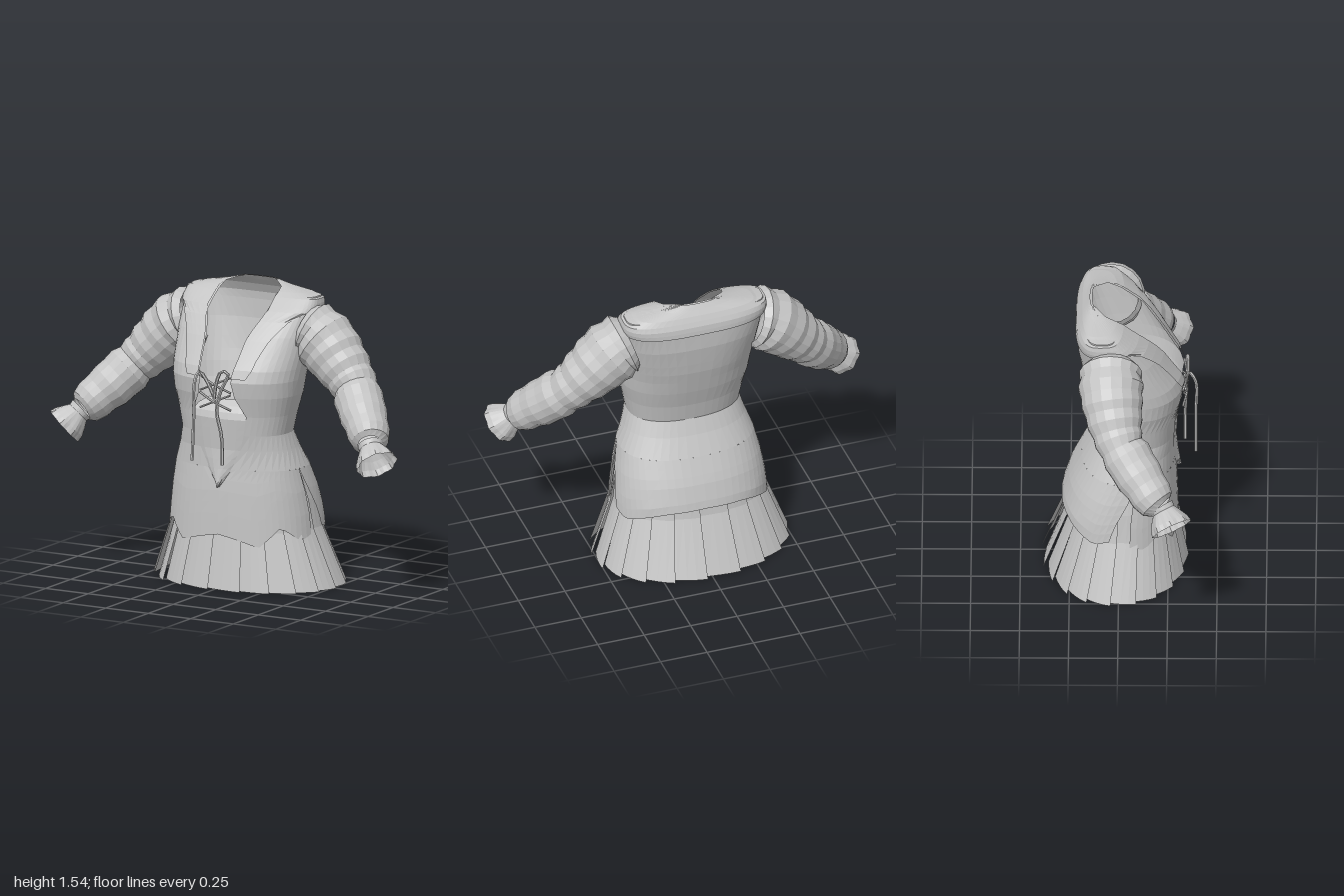
import * as THREE from 'three';

const cloth = new THREE.MeshStandardMaterial({ color: 0xc4c4c4, side: THREE.DoubleSide, flatShading: true });
cloth.name = 'grey cloth';

// Piecewise linear lookup: rows of [key, a, b, ...] with rising keys
function look(rows, k) {
  if (k <= rows[0][0]) return rows[0].slice(1);
  for (let i = 1; i < rows.length; i++) {
    const p = rows[i - 1], q = rows[i];
    if (k <= q[0]) {
      const t = (k - p[0]) / (q[0] - p[0]);
      return p.slice(1).map((v, j) => v + (q[j + 1] - v) * t);
    }
  }
  return rows[rows.length - 1].slice(1);
}

// Surface from a rule f(u, v) with u across and v downwards, both 0..1
function sheet(name, cols, rows, f) {
  const pos = [], idx = [];
  for (let j = 0; j <= rows; j++)
    for (let i = 0; i <= cols; i++) pos.push(...f(i / cols, j / rows));
  for (let j = 0; j < rows; j++)
    for (let i = 0; i < cols; i++) {
      const p = j * (cols + 1) + i, q = p + cols + 1;
      idx.push(p, q, p + 1, p + 1, q, q + 1);
    }
  let g = new THREE.BufferGeometry();
  g.setAttribute('position', new THREE.Float32BufferAttribute(pos, 3));
  g.setIndex(idx);
  g = g.toNonIndexed();
  g.computeVertexNormals();
  const m = new THREE.Mesh(g, cloth);
  m.name = name;
  return m;
}

function cord(name, pts, r) {
  const curve = new THREE.CatmullRomCurve3(pts.map(p => new THREE.Vector3(...p)));
  const m = new THREE.Mesh(new THREE.TubeGeometry(curve, 24, r, 6), cloth);
  m.name = name;
  return m;
}

// Body outline: height, half width, front z, back z, roundness (1 = ellipse, less = boxier)
const BODY = [
  [0.2, 0.415, 0.305, -0.30, 0.85], [0.38, 0.40, 0.30, -0.29, 0.85], [0.5, 0.382, 0.295, -0.25, 0.85],
  [0.62, 0.355, 0.285, -0.19, 0.85], [0.72, 0.318, 0.285, -0.135, 0.85], [0.8, 0.296, 0.295, -0.10, 0.85],
  [0.9, 0.315, 0.305, -0.12, 0.85], [1.0, 0.34, 0.325, -0.15, 0.85], [1.08, 0.35, 0.335, -0.17, 0.85],
  [1.14, 0.355, 0.315, -0.185, 0.83], [1.2, 0.36, 0.275, -0.195, 0.8], [1.3, 0.365, 0.21, -0.21, 0.74],
  [1.4, 0.37, 0.125, -0.21, 0.66], [1.44, 0.375, 0.07, -0.205, 0.62], [1.485, 0.365, 0.01, -0.18, 0.6],
  [1.515, 0.19, -0.04, -0.155, 0.7], [1.54, 0.09, -0.11, -0.135, 0.85]];
// Half width of the front opening by height
const OPEN = [
  [0.55, 0], [0.62, 0.06], [0.7, 0.11], [0.78, 0.135], [0.92, 0.16], [0.98, 0.11], [1.08, 0.09],
  [1.18, 0.105], [1.3, 0.12], [1.41, 0.17], [1.515, 0.165], [1.54, 0.09]];

// Point on the body, angle a from the front towards +x
function onBody(a, y, out = 0, table = BODY) {
  const [w, f, b, e] = look(table, y);
  const s = Math.sin(a), c = Math.cos(a);
  return [(w + out) * Math.sign(s) * Math.abs(s) ** e, y,
    (f + b) / 2 + ((f - b) / 2 + out) * Math.sign(c) * Math.abs(c) ** e];
}
function angleAt(x, y) {
  const [w, , , e] = look(BODY, y);
  return Math.asin(Math.min(1, x / w) ** (1 / e));
}
const openAngle = y => angleAt(look(OPEN, y)[0], y);

function bodice(g) {
  const ys = BODY.map(r => r[0]).filter(y => y >= 0.62).reverse();
  g.add(sheet('bodice', 44, ys.length - 1, (u, v) => {
    const y = ys[Math.round(v * (ys.length - 1))], a0 = openAngle(y);
    return onBody(a0 + u * (2 * Math.PI - 2 * a0), y);
  }));
  // Hip panels with side slits and an uneven hem
  const frontHem = [[0, 0.28], [0.3, 0.25], [0.5, 0.225], [0.85, 0.33], [1.2, 0.255], [1.5, 0.285]];
  const backHem = [[0, 0.365], [0.5, 0.355], [0.7, 0.34], [1.0, 0.315], [1.3, 0.285], [1.6, 0.31]];
  g.add(sheet('frontHipPanel', 28, 6, (u, v) => {
    const a = (u * 2 - 1) * 1.44;
    const y = 0.62 + (look(frontHem, Math.abs(a))[0] - 0.62) * v;
    let t = a;
    if (y > 0.52) { // leave the lower point of the front opening free
      const o = openAngle(y), s = Math.sign(a) || 1;
      t = s * (o + Math.abs(a) * (1.44 - o) / 1.44);
    }
    return onBody(t, y);
  }));
  g.add(sheet('backHipPanel', 28, 6, (u, v) => {
    const k = u * 2 - 1;
    const y = 0.62 + (look(backHem, Math.abs(k) * 1.6)[0] - 0.62) * v;
    return onBody(Math.PI + k * (1.7 - 0.26 * v), y);
  }));
  // Pointed insert behind the laces, with a sloping top edge
  const ins = [[0, 0.105, 0.97, 0.22], [0.15, 0.165, 0.93, 0.275], [0.3, 0.16, 0.88, 0.29],
    [0.6, 0.135, 0.72, 0.28], [0.8, 0.075, 0.62, 0.29], [1, 0.004, 0.525, 0.305]];
  g.add(sheet('frontInsert', 6, 10, (u, v) => {
    const [w, y, z] = look(ins, v), k = u * 2 - 1;
    return [k * w, y, z + 0.012 * (1 - 2 * k * k)];
  }));
}

function collar(g) {
  g.add(sheet('yoke', 48, 6, (u, v) => {
    const a = u * 2 * Math.PI, back = (1 - Math.cos(a)) / 2;
    const y = 1.54 - v * (0.12 + 0.025 * back);
    const a0 = openAngle(y);
    return onBody(a0 + u * (2 * Math.PI - 2 * a0), y, 0.012);
  }));
  const edge = [[1.1, 0.165], [1.12, 0.185], [1.2, 0.2], [1.3, 0.24], [1.38, 0.3], [1.42, 0.36]];
  for (const s of [1, -1])
    g.add(sheet(s > 0 ? 'leftLapel' : 'rightLapel', 5, 7, (u, v) => {
      const y = 1.42 - 0.32 * v;
      const a0 = openAngle(y) * 0.97, a1 = angleAt(look(edge, y)[0], y);
      return onBody(s * (a0 + (a1 - a0) * u), y, 0.012);
    }));
}

// Overlapping pleats, each stepping out over the next
function skirt(g) {
  const SK = [[0, 0.525, 0.358, -0.398, 0.93], [0.3, 0.41, 0.295, -0.275, 0.88],
    [0.45, 0.384, 0.287, -0.25, 0.86], [0.63, 0.34, 0.272, -0.17, 0.85]];
  const n = 20, pleats = new THREE.Group();
  pleats.name = 'pleatedSkirt';
  for (let i = 0; i < n; i++)
    pleats.add(sheet('pleat', 4, 3, (u, v) => {
      const y = [0.63, 0.45, 0.3, 0][Math.round(v * 3)];
      const out = (u - 1) * 0.032 * (1 - y / 0.7) - 0.004;
      return onBody((i + u * 1.25 - 0.4) / n * 2 * Math.PI, y, out, SK);
    }));
  g.add(pleats);
}

// Sleeve rings: x, y, z, radius, with gathered folds
const ARM = [
  [0.335, 1.315, -0.04, 0.135], [0.365, 1.305, -0.04, 0.162], [0.385, 1.295, -0.04, 0.15],
  [0.425, 1.268, -0.038, 0.168], [0.46, 1.237, -0.036, 0.156], [0.495, 1.205, -0.03, 0.158],
  [0.525, 1.17, -0.024, 0.144], [0.565, 1.135, -0.016, 0.142], [0.595, 1.1, -0.006, 0.124],
  [0.622, 1.075, 0.004, 0.126], [0.65, 1.045, 0.02, 0.112], [0.675, 1.015, 0.045, 0.128],
  [0.71, 0.975, 0.075, 0.122], [0.745, 0.935, 0.108, 0.123], [0.78, 0.9, 0.14, 0.11],
  [0.81, 0.865, 0.17, 0.11], [0.837, 0.833, 0.2, 0.095], [0.85, 0.82, 0.22, 0.064]];
const CUFF = [
  [0.85, 0.82, 0.22, 0.066], [0.862, 0.805, 0.232, 0.06], [0.88, 0.782, 0.246, 0.08],
  [0.9, 0.757, 0.26, 0.098], [0.92, 0.735, 0.274, 0.104]];

function tubeSheet(name, rings, sides, ruffle) {
  const P = rings.map(r => new THREE.Vector3(r[0], r[1], r[2])), n = rings.length - 1;
  return sheet(name, sides, n, (u, v) => {
    const j = Math.round(v * n), f = u * 2 * Math.PI;
    const t = P[Math.min(n, j + 1)].clone().sub(P[Math.max(0, j - 1)]).normalize();
    const b1 = new THREE.Vector3().crossVectors(t, new THREE.Vector3(0, 0, 1)).normalize();
    const b2 = new THREE.Vector3().crossVectors(t, b1);
    const r = rings[j][3] * (1 + ruffle * v * Math.cos(f * 8));
    return P[j].clone().addScaledVector(b1, r * Math.cos(f)).addScaledVector(b2, -r * Math.sin(f)).toArray();
  });
}

function arms(g) {
  for (const s of [1, -1]) {
    const arm = new THREE.Group();
    arm.name = s > 0 ? 'leftSleeve' : 'rightSleeve';
    arm.add(tubeSheet('sleeve', ARM, 18, 0), tubeSheet('ruffledCuff', CUFF, 32, 0.05));
    arm.scale.x = s;
    g.add(arm);
  }
}

function laces(g) {
  for (const s of [1, -1])
    for (const y of [0.96, 1.05])
      g.add(cord('crossLace', [[-s * 0.09, y - 0.025, 0.325], [0, y + 0.015, 0.345], [s * 0.09, y + 0.055, 0.33]], 0.006));
  g.add(cord('hangingLace', [[0, 1.0, 0.34], [-0.04, 1.08, 0.345], [-0.075, 1.13, 0.36],
    [-0.085, 1.08, 0.39], [-0.09, 0.9, 0.39], [-0.1, 0.67, 0.39]], 0.009));
  g.add(cord('hangingLace', [[0, 0.99, 0.34], [0.02, 1.08, 0.35], [0.05, 1.14, 0.35], [0.085, 1.13, 0.345],
    [0.04, 1.03, 0.345], [0.015, 0.93, 0.34], [0.04, 0.8, 0.335], [0.045, 0.65, 0.335]], 0.009));
}

export function createModel() {
  const g = new THREE.Group();
  g.name = 'lacedDress';
  for (const part of [bodice, collar, skirt, arms, laces]) part(g);
  return g;
}
